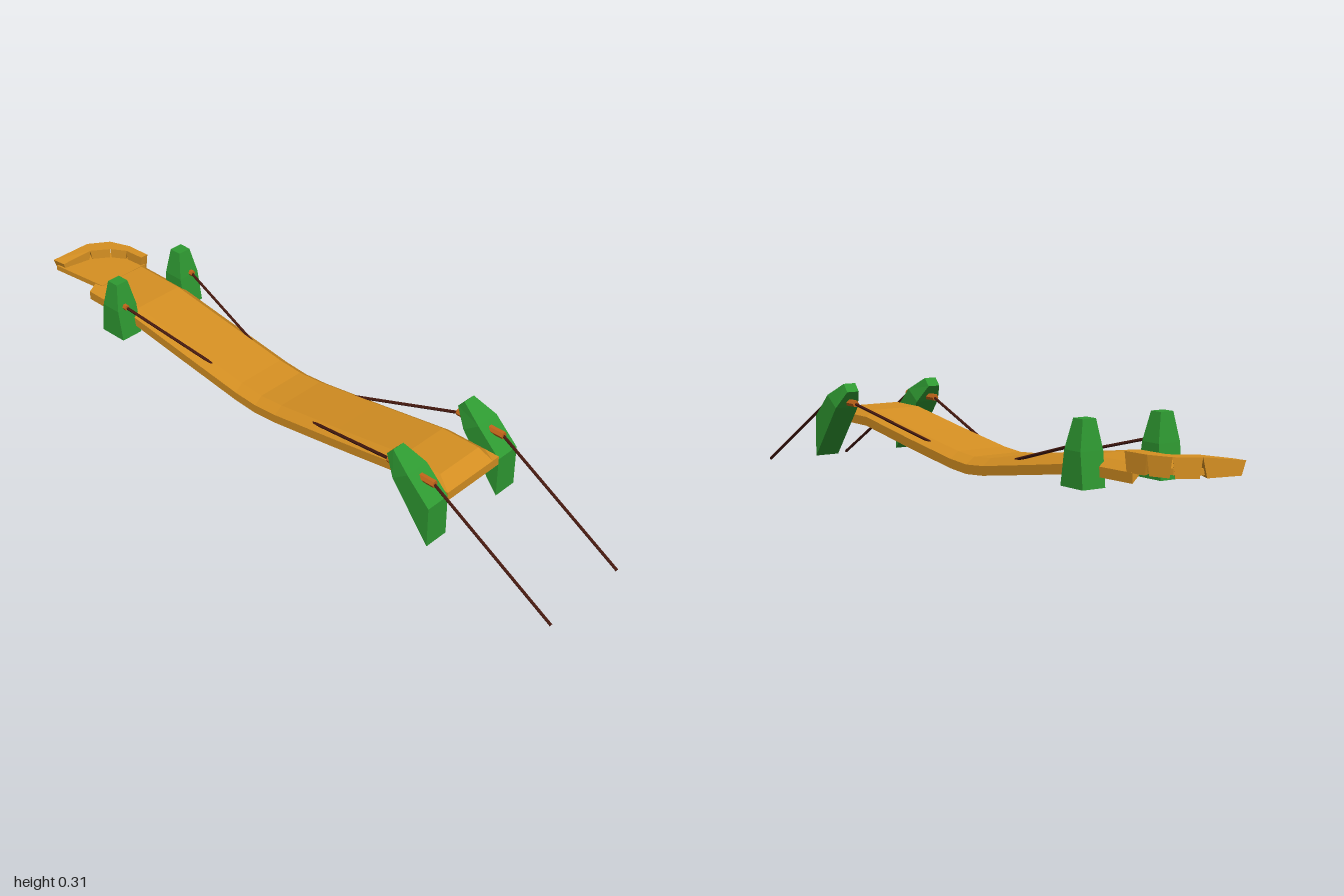
import * as THREE from 'three';

const mat = (name, color, extra = {}) =>
  Object.assign(new THREE.MeshStandardMaterial({ color, flatShading: true, ...extra }), { name });

// Joins equal-length loops of [x, y, z] points into a closed faceted solid
function loft(sections) {
  const n = sections[0].length;
  const tris = [];
  const quad = (a, b, c, d) => tris.push([a, b, c], [a, c, d]);
  for (let s = 0; s < sections.length - 1; s++) {
    const p = sections[s], q = sections[s + 1];
    for (let i = 0; i < n; i++) {
      const j = (i + 1) % n;
      quad(p[i], p[j], q[j], q[i]);
    }
  }
  // end caps: strips between the first and second half of the loop
  const first = sections[0], last = sections[sections.length - 1];
  for (let i = 0; i < n / 2 - 1; i++) {
    const k = n - 1 - i;
    quad(first[k], first[k - 1], first[i + 1], first[i]);
    quad(last[i], last[i + 1], last[k - 1], last[k]);
  }
  // turn the faces outward
  const c = new THREE.Vector3();
  const pts = sections.flat();
  pts.forEach(p => c.add(new THREE.Vector3(...p)));
  c.divideScalar(pts.length);
  let volume = 0;
  for (const t of tris) {
    const [a, b, d] = t.map(p => new THREE.Vector3(...p).sub(c));
    volume += a.dot(b.cross(d));
  }
  const ordered = volume < 0 ? tris.map(([a, b, d]) => [a, d, b]) : tris;
  const geo = new THREE.BufferGeometry();
  geo.setAttribute('position', new THREE.Float32BufferAttribute(ordered.flat(2), 3));
  geo.computeVertexNormals();
  return geo;
}

// Thin rod between two points
function rod(a, b, radius, sides = 6) {
  const from = new THREE.Vector3(...a), to = new THREE.Vector3(...b);
  const dir = to.clone().sub(from);
  const geo = new THREE.CylinderGeometry(radius, radius, dir.length(), sides);
  geo.applyQuaternion(new THREE.Quaternion().setFromUnitVectors(
    new THREE.Vector3(0, 1, 0), dir.clone().normalize()));
  const mid = from.add(to).multiplyScalar(0.5);
  return geo.translate(mid.x, mid.y, mid.z);
}

export function createModel() {
  const group = new THREE.Group();
  const wood = mat('ochre wood', 0xd69022);
  const green = mat('green paint', 0x2f9a32);
  const rope = mat('dark brown rope', 0x45190f);
  const peg = mat('orange peg', 0xc4661a);
  const add = (name, geo, material) => {
    const mesh = new THREE.Mesh(geo, material);
    mesh.name = name;
    group.add(mesh);
  };

  // Sagging deck with chamfered long edges and a hollow underside
  const deckSection = (x, y, crown = 0, hollow = -0.022) => [
    [x, y - 0.02, -0.107], [x, y + crown, -0.08], [x, y + crown, 0.08], [x, y - 0.02, 0.107],
    [x, y - 0.047, 0.107], [x, y + hollow, 0.08], [x, y + hollow, -0.08], [x, y - 0.047, -0.107],
  ];
  const spine = [[-0.82, 0.216], [-0.62, 0.214], [-0.4, 0.181], [-0.18, 0.149], [-0.1, 0.143],
    [-0.02, 0.149], [0.2, 0.181], [0.44, 0.219], [0.565, 0.22]];
  add('deck', loft([
    ...spine.map(([x, y]) => deckSection(x, y)),
    deckSection(0.615, 0.22, -0.02, -0.047),
  ]), wood);

  // Rounded landing at the left end
  const outer = [[-0.998, 0.1], [-0.977, -0.02], [-0.935, -0.08], [-0.87, -0.104], [-0.79, -0.108]];
  const inner = [[-0.955, 0.095], [-0.937, 0.0], [-0.9, -0.05], [-0.855, -0.078], [-0.79, -0.083]];
  const floor = new THREE.Shape();
  [[-0.985, 0.1], [-0.965, -0.015], [-0.925, -0.068], [-0.865, -0.092], [-0.79, -0.096], [-0.79, 0.08]]
    .forEach(([x, z], i) => (i ? floor.lineTo(x, z) : floor.moveTo(x, z)));
  const floorGeo = new THREE.ExtrudeGeometry(floor, { depth: 0.016, bevelEnabled: false });
  floorGeo.rotateX(Math.PI / 2).translate(0, 0.217, 0);
  add('landing', floorGeo, wood);

  // Curved parapet made of separate blocks that narrow at the bottom
  const end = (i, other, top) => {
    const at = (pts, y, pull) => [
      pts[i][0] + (pts[other][0] - pts[i][0]) * pull, y,
      pts[i][1] + (pts[other][1] - pts[i][1]) * pull,
    ];
    return [at(outer, top, 0), at(inner, top, 0), at(inner, 0.195, 0.1), at(outer, 0.195, 0.1)];
  };
  for (let i = 0; i < 4; i++) {
    add('parapetBlock', loft([end(i, i + 1, i === 0 ? 0.232 : 0.247), end(i + 1, i, 0.247)]), wood);
  }

  for (const s of [1, -1]) {
    // Upright tower at the left end
    const ring = (y, x0, x1, h) => [
      [x0, y, s * (0.127 - h)], [x1, y, s * (0.127 - h)], [x1, y, s * (0.127 + h)], [x0, y, s * (0.127 + h)]];
    add('tower', loft([
      ring(0.14, -0.696, -0.605, 0.036), ring(0.235, -0.686, -0.62, 0.036), ring(0.315, -0.675, -0.636, 0.021),
    ]), green);

    // Leaning pylon at the right end
    const slab = (xt, yt, xb, yb, h) => [
      [xt, yt, s * (0.146 - h)], [xt, yt, s * (0.146 + h)], [xb, yb, s * (0.146 + h)], [xb, yb, s * (0.146 - h)]];
    add('pylon', loft([
      slab(0.473, 0.301, 0.452, 0.277, 0.02),
      slab(0.54, 0.262, 0.49, 0.226, 0.039),
      slab(0.615, 0.19, 0.615, 0.065, 0.039),
    ]), green);

    // Pegs through the supports
    add('pylonPeg', rod([0.44, 0.242, s * 0.144], [0.6, 0.242, s * 0.144], 0.011), peg);
    add('towerPeg', rod([-0.65, 0.242, s * 0.135], [-0.61, 0.242, s * 0.135], 0.009), peg);

    // Anchor rope and the two deck ropes
    add('anchorRope', rod([0.595, 0.242, s * 0.144], [0.998, 0.004, s * 0.144], 0.0045), rope);
    add('pylonRope', rod([0.45, 0.242, s * 0.144], [0.1, 0.156, s * 0.084], 0.0045), rope);
    add('towerRope', rod([-0.62, 0.242, s * 0.135], [-0.3, 0.16, s * 0.082], 0.0045), rope);
  }
  return group;
}
